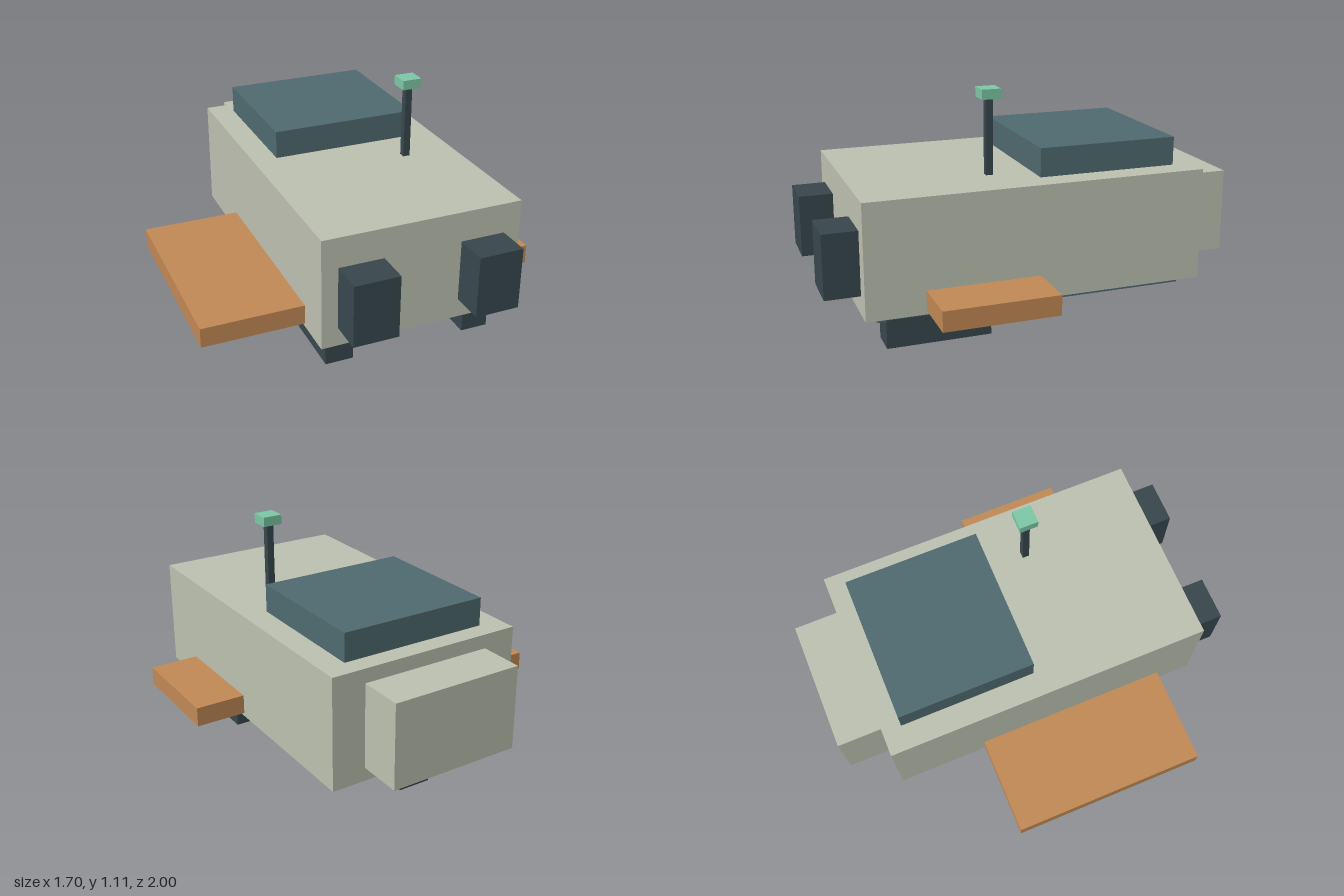
import * as THREE from 'three';

const material = (name, color) => {
  const m = new THREE.MeshStandardMaterial({ color });
  m.name = name;
  return m;
};

export function createModel() {
  const model = new THREE.Group();
  const hull = material('pale hull', 0xbdc1b0);
  const teal = material('slate teal', 0x4f6a70);
  const dark = material('dark slate', 0x38474d);
  const orange = material('copper orange', 0xc28955);
  const mint = material('mint', 0x7cc8a6);

  // Box given by its [min, max] extent on each axis
  const block = (name, mat, [x0, x1], [y0, y1], [z0, z1]) => {
    const mesh = new THREE.Mesh(new THREE.BoxGeometry(x1 - x0, y1 - y0, z1 - z0), mat);
    mesh.position.set((x0 + x1) / 2, (y0 + y1) / 2, (z0 + z1) / 2);
    mesh.name = name;
    model.add(mesh);
  };

  // Main body, underside plate, rear pod and roof hatch
  block('body', hull, [-0.365, 0.603], [0.168, 0.706], [-0.782, 0.838]);
  block('chassis', teal, [-0.287, 0.525], [0.125, 0.168], [-0.714, 0.772]);
  block('rearPod', hull, [-0.205, 0.44], [0.233, 0.638], [-1, -0.782]);
  block('roofHatch', teal, [-0.246, 0.483], [0.706, 0.842], [-0.688, -0.013]);

  // Front lamps
  block('rightLamp', dark, [-0.287, -0.071], [0.26, 0.56], [0.838, 1]);
  block('leftLamp', dark, [0.307, 0.523], [0.26, 0.56], [0.838, 1]);

  // Side wings of unequal size
  block('rightWing', orange, [-0.851, -0.365], [0.185, 0.28], [-0.328, 0.647]);
  block('leftWing', orange, [0.603, 0.849], [0.185, 0.28], [0.028, 0.565]);

  // Two front skids and one rear skid
  block('frontRightSkid', dark, [-0.3, -0.165], [0, 0.136], [0.245, 0.733]);
  block('frontLeftSkid', dark, [0.402, 0.537], [0, 0.136], [0.245, 0.733]);
  block('rearSkid', dark, [0.04, 0.2], [0, 0.136], [-0.714, -0.31]);

  // Antenna
  block('antennaMast', dark, [0.332, 0.366], [0.706, 1.063], [0.174, 0.208]);
  block('antennaTip', mint, [0.303, 0.397], [1.063, 1.109], [0.145, 0.237]);

  return model;
}
